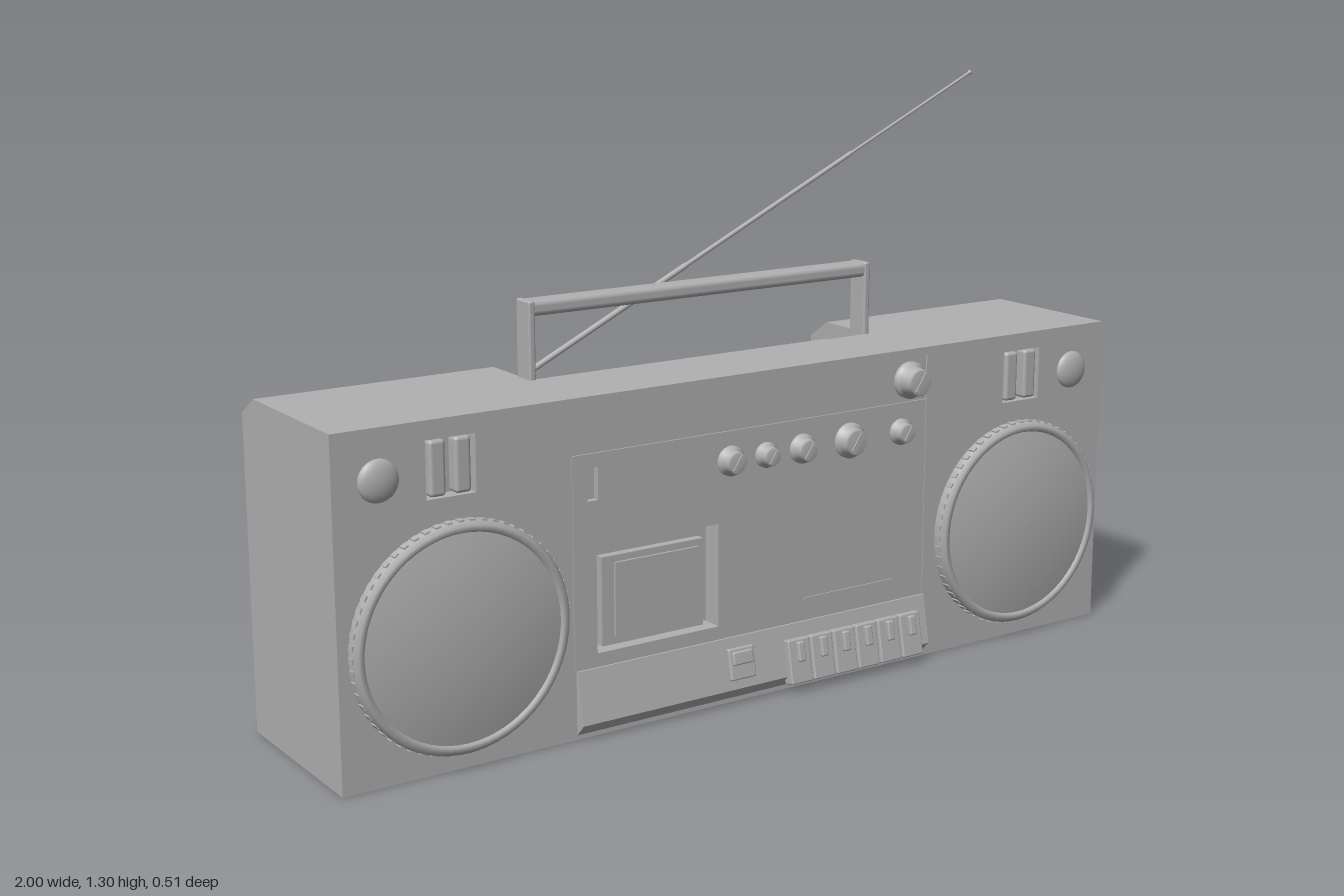
import * as THREE from 'three';
import { RoundedBoxGeometry } from 'three/addons/geometries/RoundedBoxGeometry.js';

export function createModel() {
  const model = new THREE.Group();
  model.name = 'cassetteRadio';
  const grey = new THREE.MeshStandardMaterial({ color: 0xb0b0b0 });
  grey.name = 'grey plastic';

  const add = (name, geo, x = 0, y = 0, z = 0, parent = model) => {
    const m = new THREE.Mesh(geo, grey);
    m.name = name;
    m.position.set(x, y, z);
    parent.add(m);
    return m;
  };
  // box given by its limits
  const block = (name, x0, x1, y0, y1, z0, z1) =>
    add(name, new THREE.BoxGeometry(x1 - x0, y1 - y0, z1 - z0), (x0 + x1) / 2, (y0 + y1) / 2, (z0 + z1) / 2);
  // (z, y) profile swept along x
  const sweepX = (name, pts, x0, x1) => {
    const s = new THREE.Shape(pts.map(([z, y]) => new THREE.Vector2(-z, y)));
    const g = new THREE.ExtrudeGeometry(s, { depth: x1 - x0, bevelEnabled: false });
    g.rotateY(Math.PI / 2);
    return add(name, g, x0, 0, 0);
  };
  // wall in the xy plane with rectangular holes [x0, x1, y0, y1]
  const rect = (P, [x0, x1, y0, y1]) => {
    const p = new P();
    p.moveTo(x0, y0); p.lineTo(x1, y0); p.lineTo(x1, y1); p.lineTo(x0, y1); p.closePath();
    return p;
  };
  const wall = (name, outer, holes, z0, z1) => {
    const s = rect(THREE.Shape, outer);
    s.holes = holes.map(h => rect(THREE.Path, h));
    return add(name, new THREE.ExtrudeGeometry(s, { depth: z1 - z0, bevelEnabled: false }), 0, 0, z0);
  };
  // turned part along z; dir -1 faces the back
  const turned = (name, pts, x, y, z, seg = 24, dir = 1) => {
    const g = new THREE.LatheGeometry(pts.map(p => new THREE.Vector2(...p)), seg);
    g.rotateX(dir * Math.PI / 2);
    return add(name, g, x, y, z);
  };
  const disc = (name, r, h, x, y, z, seg = 20) => {
    const g = new THREE.CylinderGeometry(r, r, h, seg);
    g.rotateX(Math.PI / 2);
    return add(name, g, x, y, z);
  };

  // case: two ends and a middle with a well for the handle
  const end = [[0.16, 0], [0.16, 0.73], [-0.15, 0.73], [-0.21, 0.69], [-0.21, 0.6], [-0.19, 0.6], [-0.19, 0]];
  const middle = [[0.16, 0], [0.16, 0.73], [0.015, 0.73], [0.01, 0.69], [-0.15, 0.69], [-0.16, 0.65],
    [-0.2, 0.645], [-0.21, 0.63], [-0.21, 0.6], [-0.19, 0.6], [-0.19, 0]];
  sweepX('caseEnd', end, -1, -0.45);
  sweepX('caseMiddle', middle, -0.45, 0.45);
  sweepX('caseEnd', end, 0.45, 1);

  // front wall with tape bay, switch wells and display strip
  const bay = [-0.415, -0.11, 0.18, 0.41];
  const strip = [-0.47, 0.46, 0.61, 0.712];
  const slot = [-0.435, -0.41, 0.51, 0.58];
  const wells = [[-0.8, -0.69, 0.57, 0.69], [0.69, 0.8, 0.57, 0.69]];
  wall('frontWall', [-1, 1, 0, 0.73], [bay, strip, slot, ...wells], 0.16, 0.21);
  block('displayStrip', ...strip, 0.16, 0.206);
  block('slotFloor', ...slot, 0.16, 0.195);
  block('tapeDoor', -0.385, -0.13, 0.18, 0.375, 0.16, 0.18);
  block('tapeWindow', -0.355, -0.145, 0.2, 0.36, 0.18, 0.186);
  block('panelSlit', 0.12, 0.37, 0.198, 0.203, 0.21, 0.213);
  for (const x of [-0.47, 0.46]) block('panelEdge', x - 0.002, x + 0.002, 0.15, 0.61, 0.21, 0.212);

  // back wall with shallow panels
  const battery = [0.74, 0.93, 0.045, 0.205], voltage = [0.53, 0.7, 0.165, 0.38];
  const label = [-0.69, -0.57, 0.375, 0.51], jackBay = [-0.66, -0.29, 0.03, 0.095];
  wall('backWall', [-1, 1, 0, 0.6], [battery, voltage, label, jackBay], -0.21, -0.19);
  block('batteryCover', 0.75, 0.92, 0.045, 0.195, -0.2, -0.19);
  block('voltagePlate', 0.545, 0.685, 0.18, 0.365, -0.2, -0.19);
  for (const y of [0.3, 0.34]) disc('voltageSwitch', 0.011, 0.02, 0.66, y, -0.2, 12);

  // jacks
  for (let i = 0; i < 4; i++)
    turned('jack', [[0.019, 0], [0.019, 0.03], [0.014, 0.035], [0.01, 0.035], [0.01, 0.02], [0, 0.02]], -0.34 - i * 0.09, 0.062, -0.19, 16, -1);

  // screws: small ones and two large slotted ones
  for (const [x, y] of [[0.93, 0.57], [0.52, 0.59], [0.97, 0.19], [0.52, 0.13]])
    for (const s of [1, -1]) {
      add('screwRim', new THREE.TorusGeometry(0.014, 0.004, 6, 16), s * x, y, -0.21);
      disc('screw', 0.009, 0.006, s * x, y, -0.21, 12);
    }
  for (const x of [0.35, 0.035]) {
    disc('largeScrew', 0.029, 0.012, x, 0.41, -0.212);
    block('screwBar', x - 0.028, x + 0.028, 0.404, 0.416, -0.224, -0.216);
  }

  // motor hump on the back: a box with its outer face drawn in
  const hump = new THREE.BoxGeometry(0.25, 0.25, 0.045);
  const hp = hump.attributes.position;
  for (let i = 0; i < hp.count; i++)
    if (hp.getZ(i) < 0) hp.setXY(i, hp.getX(i) * 0.68, hp.getY(i) * 0.68);
  hump.computeVertexNormals();
  add('motorHump', hump, -0.27, 0.295, -0.2325);

  // speakers, tweeters and side switches, mirrored
  for (const s of [-1, 1]) {
    const cx = s * 0.735, cy = 0.28;
    turned('speakerRing', [[0.242, 0], [0.242, 0.02], [0.234, 0.03], [0.222, 0.03], [0.218, 0.02]], cx, cy, 0.21, 64);
    const dome = [];
    for (let i = 0; i <= 10; i++) {
      const r = 0.22 * (1 - i / 10);
      dome.push([r, 0.045 - 0.022 * (r / 0.22) ** 2]);
    }
    turned('speakerGrille', dome, cx, cy, 0.21, 64);
    for (let i = 0; i < 60; i++) {
      const a = i / 60 * Math.PI * 2;
      const k = add('ringRib', new THREE.BoxGeometry(0.009, 0.012, 0.018), cx + 0.24 * Math.cos(a), cy + 0.24 * Math.sin(a), 0.222);
      k.rotation.z = a;
    }
    const tw = new THREE.SphereGeometry(0.044, 24, 16);
    tw.scale(1, 1, 0.4);
    add('tweeter', tw, s * 0.902, 0.625, 0.21);
    block('switchFloor', s * 0.745 - 0.055, s * 0.745 + 0.055, 0.57, 0.69, 0.16, 0.175);
    for (const dx of [-0.028, 0.028])
      add('switchBar', new RoundedBoxGeometry(0.036, 0.115, 0.035, 2, 0.008), s * 0.745 + dx, 0.63, 0.193);
  }

  // control knobs with a rim and a pointer
  const knob = (x, y, r, h) => {
    turned('knob', [[r, 0], [r, 0.012], [r * 0.78, 0.014], [r * 0.74, h - 0.004], [r * 0.65, h], [0, h]], x, y, 0.206);
    const p = add('knobPointer', new THREE.BoxGeometry(r * 0.25, r * 1.2, 0.006), x, y, 0.206 + h);
    p.rotation.z = -0.6;
  };
  for (const [x, r] of [[-0.08, 0.033], [0.013, 0.028], [0.11, 0.033], [0.24, 0.04], [0.385, 0.03]]) knob(x, 0.545, r, 0.035);
  knob(0.41, 0.66, 0.042, 0.046);

  // key deck: slopes out, then turns under
  sweepX('keyDeck', [[0.2, 0.01], [0.21, 0.01], [0.237, 0.038], [0.215, 0.15], [0.2, 0.15]], -0.467, 0.46);
  const key = (name, x, y, w, h, d) => {
    const m = add(name, new RoundedBoxGeometry(w, h, d, 2, 0.004), x, y, 0.232);
    m.rotation.x = -0.19;
    return m;
  };
  for (let i = 0; i < 6; i++) {
    const x = 0.086 + i * 0.063;
    key('tapeKey', x, 0.07, 0.058, 0.1, 0.03);
    key('keyTab', x, 0.092, 0.018, 0.045, 0.042);
  }
  key('counter', -0.065, 0.095, 0.066, 0.07, 0.014);
  key('counterWindow', -0.065, 0.108, 0.052, 0.03, 0.02);

  // carrying handle
  for (const s of [-1, 1])
    add('handlePost', new RoundedBoxGeometry(0.016, 0.225, 0.056, 2, 0.005), s * 0.443 - 0.003, 0.785, -0.013);
  add('handleBar', new RoundedBoxGeometry(0.89, 0.034, 0.052, 3, 0.012), -0.003, 0.88, -0.013);

  // aerial: holder, pivot and telescopic rods
  const rod = (name, a, b, r) => {
    const d = b.clone().sub(a);
    const m = add(name, new THREE.CylinderGeometry(r, r, d.length(), 12));
    m.position.copy(a).addScaledVector(d, 0.5);
    m.quaternion.setFromUnitVectors(new THREE.Vector3(0, 1, 0), d.normalize());
  };
  const holder = [[0, 0], [0.016, 0.003], [0.016, 0.025], [0.01, 0.035], [0.01, 0.125], [0.016, 0.135], [0.016, 0.16], [0.009, 0.17], [0.009, 0.19], [0, 0.195]];
  add('aerialHolder', new THREE.LatheGeometry(holder.map(p => new THREE.Vector2(...p)), 16), -0.425, 0.44, -0.217);
  add('aerialPivot', new THREE.SphereGeometry(0.017, 16, 12), -0.425, 0.64, -0.215);
  const foot = new THREE.Vector3(-0.425, 0.645, -0.215), tip = new THREE.Vector3(0.93, 1.295, -0.21);
  const at = t => foot.clone().lerp(tip, t);
  rod('aerialRod', at(0), at(0.38), 0.007);
  rod('aerialRod', at(0.38), at(0.73), 0.0055);
  rod('aerialRod', at(0.73), at(1), 0.0035);
  add('aerialTip', new THREE.SphereGeometry(0.006, 12, 8), tip.x, tip.y, tip.z);

  return model;
}
